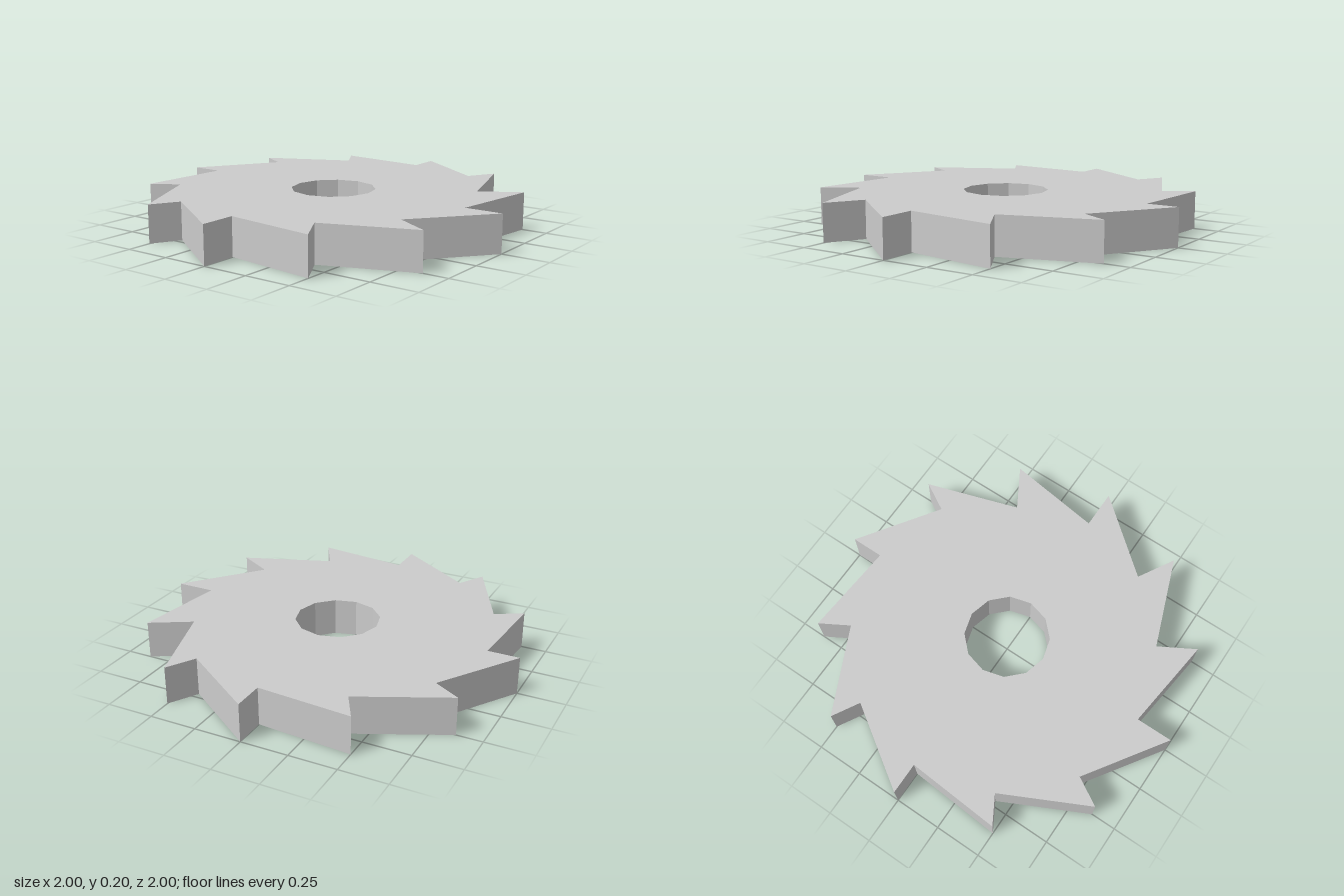
import * as THREE from 'three';

const TEETH = 12;
const THICKNESS = 0.2;
const BORE_RADIUS = 0.225;

// Depth of the notch behind each tooth, counter-clockwise from +x (slightly uneven cuts)
const NOTCH_RADII = [0.795, 0.757, 0.828, 0.83, 0.825, 0.836, 0.832, 0.834, 0.832, 0.805, 0.782, 0.78];

function polar(radius, step) {
  const angle = (step / TEETH) * Math.PI * 2;
  return new THREE.Vector2(Math.cos(angle) * radius, Math.sin(angle) * radius);
}

export function createModel() {
  const group = new THREE.Group();
  group.name = 'ratchetWheel';

  // Saw-tooth outline: each tip drops radially to its notch, then ramps to the next tip
  const outline = [];
  const bore = [];
  for (let i = 0; i < TEETH; i++) {
    outline.push(polar(1, i), polar(NOTCH_RADII[i], i));
    bore.push(polar(BORE_RADIUS, i));
  }

  // Twelve-sided centre bore
  const shape = new THREE.Shape(outline);
  shape.holes.push(new THREE.Path(bore));

  // Flat plate lying on the ground
  const geometry = new THREE.ExtrudeGeometry(shape, { depth: THICKNESS, bevelEnabled: false });
  geometry.rotateX(-Math.PI / 2);

  const material = new THREE.MeshStandardMaterial({ color: 0xcccccc, flatShading: true });
  const wheel = new THREE.Mesh(geometry, material);
  wheel.name = 'toothedDisc';
  group.add(wheel);
  return group;
}
